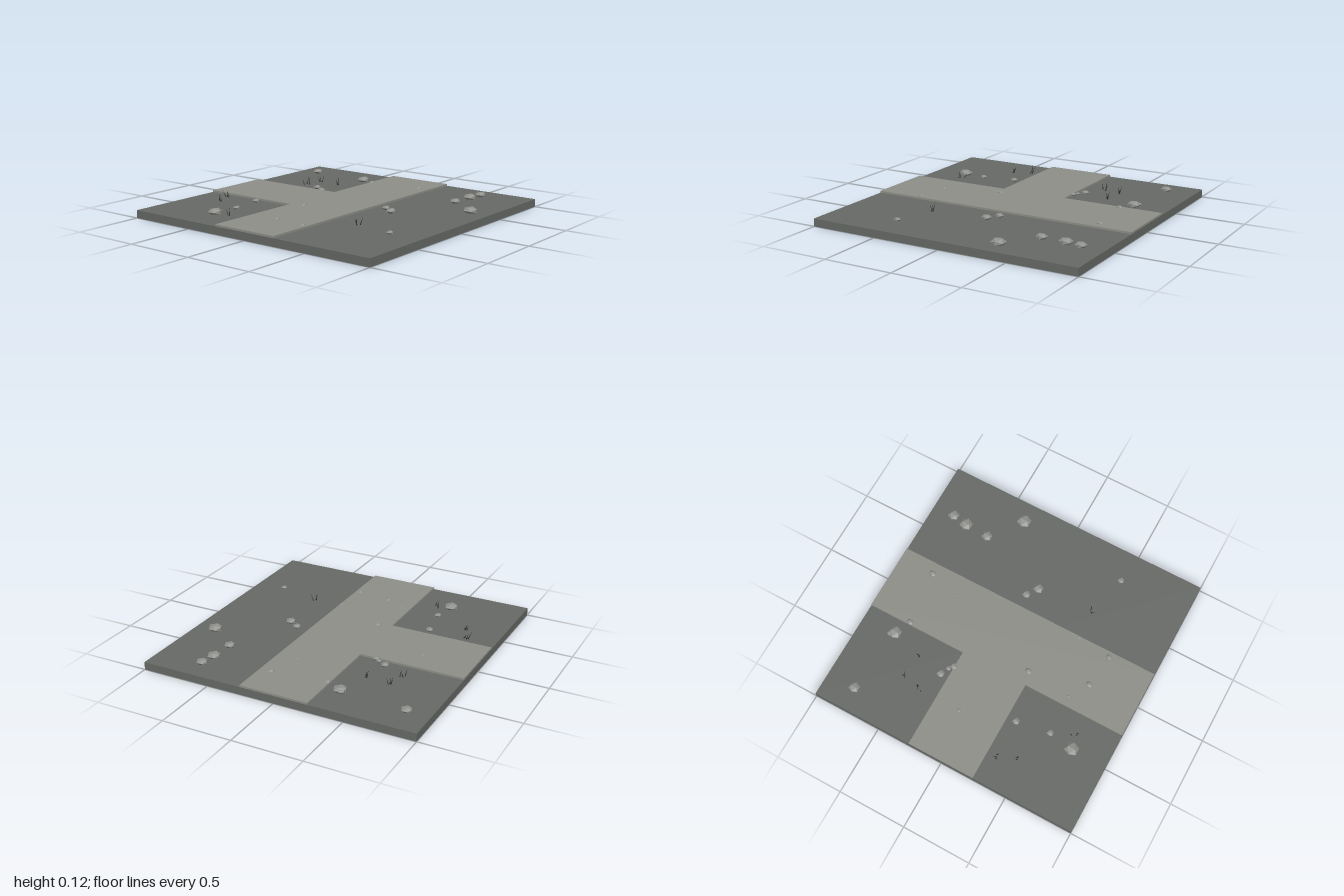
import * as THREE from 'three';

const SLAB_TOP = 0.056, PATH_TOP = 0.07;

// x, z, radius of each stone
const STONES = [
  [-0.74, -0.5, 0.053], [-0.56, -0.47, 0.026], [-0.315, -0.51, 0.028],
  [0.785, -0.835, 0.041], [0.745, -0.35, 0.05], [0.77, -0.37, 0.025],
  [0.31, -0.46, 0.03], [0.28, -0.4, 0.02], [0.255, -0.37, 0.026],
  [0.69, -0.23, 0.026], [0.065, -0.63, 0.014], [-0.22, -0.15, 0.026],
  [-0.55, -0.18, 0.012], [-0.635, -0.035, 0.025], [-0.665, 0.21, 0.022],
  [-0.41, 0.24, 0.012], [0.51, 0.1, 0.011], [0.735, 0.17, 0.028],
  [0.07, 0.35, 0.031], [0.015, 0.43, 0.038], [0.54, 0.615, 0.041],
  [0.72, 0.625, 0.05], [0.835, 0.645, 0.043], [0.36, 0.85, 0.054],
  [-0.475, 0.77, 0.025],
];

// root x, root z, tip offset x, tip offset z, height of each grass blade
const BLADES = [
  [-0.45, -0.72, 0.015, -0.03, 0.05], [-0.445, -0.73, -0.015, -0.01, 0.04], [-0.45, -0.74, 0.012, -0.015, 0.045],
  [-0.32, -0.8, -0.015, -0.025, 0.06], [-0.315, -0.79, 0.015, -0.02, 0.055], [-0.32, -0.77, 0.008, -0.025, 0.045],
  [-0.73, -0.38, 0.012, -0.015, 0.045], [-0.725, -0.395, -0.012, -0.01, 0.05], [-0.695, -0.41, 0.012, -0.015, 0.04],
  [0.37, -0.635, -0.012, -0.01, 0.05], [0.395, -0.63, 0.008, 0.015, 0.06], [0.4, -0.61, 0.012, -0.012, 0.05],
  [0.515, -0.6, -0.012, -0.01, 0.05], [0.52, -0.595, 0.015, -0.01, 0.065], [0.525, -0.585, 0.005, 0.012, 0.05],
  [0.505, -0.42, -0.01, -0.008, 0.05], [0.51, -0.415, 0.01, -0.01, 0.055], [0.505, -0.425, 0.005, 0.01, 0.04],
  [-0.41, 0.46, -0.015, -0.01, 0.045], [-0.405, 0.45, 0.015, -0.01, 0.065], [-0.39, 0.47, 0.005, 0.02, 0.06],
];

export function createModel() {
  const ground = new THREE.MeshStandardMaterial({ color: 0x676a67 });
  ground.name = 'dark ground';
  const paving = new THREE.MeshStandardMaterial({ color: 0x8f8f89 });
  paving.name = 'pale path';
  const rock = new THREE.MeshStandardMaterial({ color: 0x91928e });
  rock.name = 'stone grey';
  const grass = new THREE.MeshStandardMaterial({ color: 0x303430 });
  grass.name = 'dry grass';

  const model = new THREE.Group();
  model.name = 'pathTile';
  const add = (parent, name, geometry, material) => {
    const mesh = new THREE.Mesh(geometry, material);
    mesh.name = name;
    parent.add(mesh);
    return mesh;
  };

  // Ground slab
  add(model, 'groundSlab', new THREE.BoxGeometry(2, SLAB_TOP, 2), ground).position.y = SLAB_TOP / 2;

  // T-shaped path, drawn as x and -z, then laid flat
  const outline = [[-1, -0.25], [1, -0.25], [1, 0.25], [0.25, 0.25], [0.25, 1], [-0.25, 1], [-0.25, 0.25], [-1, 0.25]];
  const shape = new THREE.Shape(outline.map(([x, y]) => new THREE.Vector2(x, y)));
  const pathGeometry = new THREE.ExtrudeGeometry(shape, { depth: PATH_TOP - SLAB_TOP, bevelEnabled: false });
  pathGeometry.rotateX(-Math.PI / 2);
  add(model, 'path', pathGeometry, paving).position.y = SLAB_TOP;

  // Flattened, faceted stones
  const stones = new THREE.Group();
  stones.name = 'stones';
  model.add(stones);
  const stoneGeometry = new THREE.IcosahedronGeometry(1, 0);
  for (const [x, z, r] of STONES) {
    const stone = add(stones, 'stone', stoneGeometry, rock);
    stone.position.set(x, PATH_TOP, z);
    stone.scale.set(r, r * 0.5, r);
  }

  // Thin leaning grass blades
  const blades = new THREE.Group();
  blades.name = 'grassTufts';
  model.add(blades);
  const up = new THREE.Vector3(0, 1, 0);
  for (const [x, z, dx, dz, h] of BLADES) {
    const lean = new THREE.Vector3(dx, h, dz);
    const length = lean.length();
    const geometry = new THREE.ConeGeometry(0.004, length, 4);
    geometry.translate(0, length / 2, 0);
    const blade = add(blades, 'grassBlade', geometry, grass);
    blade.position.set(x, SLAB_TOP, z);
    blade.quaternion.setFromUnitVectors(up, lean.normalize());
  }
  return model;
}
